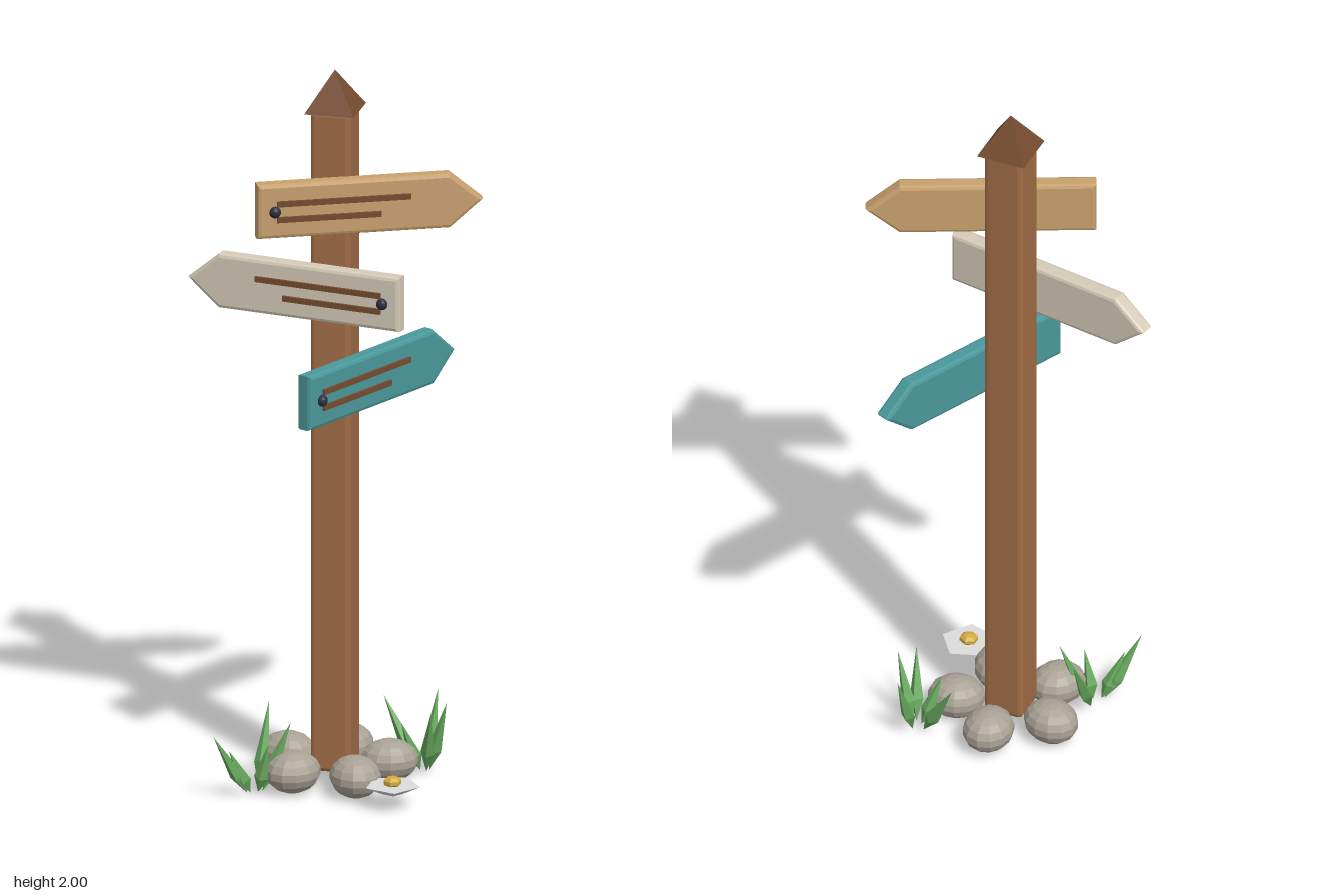
import * as THREE from 'three';
import { RoundedBoxGeometry } from 'three/addons/geometries/RoundedBoxGeometry.js';

const mat = (name, color, flatShading = true) => {
  const m = new THREE.MeshStandardMaterial({ color, flatShading });
  m.name = name;
  return m;
};

export function createModel() {
  const M = {
    post: mat('post wood', 0xa06c46),
    dark: mat('dark wood', 0x744b30),
    tan: mat('tan board', 0xc8a06e),
    cream: mat('cream board', 0xd6cbb8),
    teal: mat('teal board', 0x4a989b),
    nail: mat('nail iron', 0x2a2e3e),
    stone: mat('stone', 0xaaa296),
    grass: mat('grass green', 0x68a95e),
    petal: mat('pale petal', 0xdcdcdc),
    pollen: mat('yellow pollen', 0xd2ac40),
  };
  const model = new THREE.Group();
  model.name = 'signpost';
  const add = (parent, name, geo, material, x = 0, y = 0, z = 0) => {
    const m = new THREE.Mesh(geo, material);
    m.name = name;
    m.position.set(x, y, z);
    parent.add(m);
    return m;
  };
  const PZ = 0.025; // post centre in z

  // Post with chamfered edges and pyramid cap
  add(model, 'post', new RoundedBoxGeometry(0.11, 1.85, 0.11, 1, 0.012), M.post, 0, 0.97, PZ);
  add(model, 'postCap', new THREE.ConeGeometry(0.096, 0.11, 4), M.dark, 0, 1.945, PZ).rotation.y = Math.PI / 4;

  // Arrow boards: dir = 1 points along local +x, -1 along local -x
  function board(name, material, y, angle, dir) {
    const g = new THREE.Group();
    g.name = name;
    g.position.set(0, y, PZ);
    g.rotation.y = angle;
    const pts = [[-0.23, -0.076], [0.295, -0.076], [0.385, 0], [0.295, 0.076], [-0.23, 0.076]];
    const shape = new THREE.Shape(pts.map(([px, py]) => new THREE.Vector2(px * dir, py)));
    const geo = new THREE.ExtrudeGeometry(shape, {
      depth: 0.026, bevelEnabled: true, bevelSize: 0.01, bevelThickness: 0.01, bevelOffset: -0.01, bevelSegments: 2,
    });
    add(g, name + 'Plank', geo, material, 0, 0, 0.067);
    // carved lines, the upper one longer
    for (const [end, gy] of [[0.185, 0.022], [0.105, -0.022]]) {
      const len = end + 0.178;
      add(g, 'carvedLine', new THREE.BoxGeometry(len, 0.015, 0.009), M.dark, dir * (end - len / 2), gy, 0.106);
    }
    add(g, 'nail', new THREE.SphereGeometry(0.016, 10, 8), M.nail, dir * -0.183, 0, 0.107).scale.z = 0.85;
    model.add(g);
  }
  board('topSign', M.tan, 1.645, 0.44, 1);
  board('middleSign', M.cream, 1.398, -0.17, -1);
  board('lowerSign', M.teal, 1.14, 1.13, 1);

  // Ring of five stones around the foot
  for (let i = 0; i < 5; i++) {
    const a = Math.PI + (i * Math.PI * 2) / 5;
    const s = add(model, 'stone', new THREE.SphereGeometry(1, 12, 9), M.stone,
      Math.sin(a) * 0.145, 0.062, PZ + Math.cos(a) * 0.145);
    s.scale.set(0.068, 0.057, 0.078);
    s.rotation.y = a;
  }

  // Grass clumps: faceted blades from a base toward each tip
  const up = new THREE.Vector3(0, 1, 0);
  const profile = [[0.0001, 0], [0.02, 0.3], [0.0001, 1]].map(([r, h]) => new THREE.Vector2(r, h));
  function clump(name, x, z, tips) {
    const g = new THREE.Group();
    g.name = name;
    for (const t of tips) {
      const tip = new THREE.Vector3(...t);
      const base = new THREE.Vector3(x + (tip.x - x) * 0.2, 0.01, z + (tip.z - z) * 0.2);
      const d = tip.sub(base);
      const b = add(g, 'blade', new THREE.LatheGeometry(profile, 4), M.grass, base.x, base.y, base.z);
      b.scale.y = d.length();
      b.quaternion.setFromUnitVectors(up, d.normalize());
    }
    model.add(g);
  }
  clump('frontGrass', -0.18, 0.175, [
    [-0.27, 0.185, 0.275], [-0.18, 0.215, 0.03], [-0.095, 0.195, 0.13], [-0.14, 0.15, 0.195], [-0.235, 0.14, 0.245],
  ]);
  clump('backGrass', 0.21, -0.12, [
    [0.085, 0.19, -0.17], [0.28, 0.21, -0.085], [0.25, 0.2, -0.03], [0.225, 0.205, -0.21], [0.16, 0.15, -0.065],
  ]);

  // Small flower: shallow five-sided cup and a yellow centre
  const flower = new THREE.Group();
  flower.name = 'flower';
  flower.position.set(0.203, 0, 0.207);
  add(flower, 'petals', new THREE.CylinderGeometry(0.076, 0.03, 0.022, 5), M.petal, 0, 0.057, 0).rotation.y = Math.PI / 2;
  add(flower, 'flowerCentre', new THREE.SphereGeometry(0.026, 6, 5), M.pollen, 0, 0.077, 0).scale.y = 0.6;
  flower.children[1].rotation.y = Math.PI / 6;
  model.add(flower);

  return model;
}
